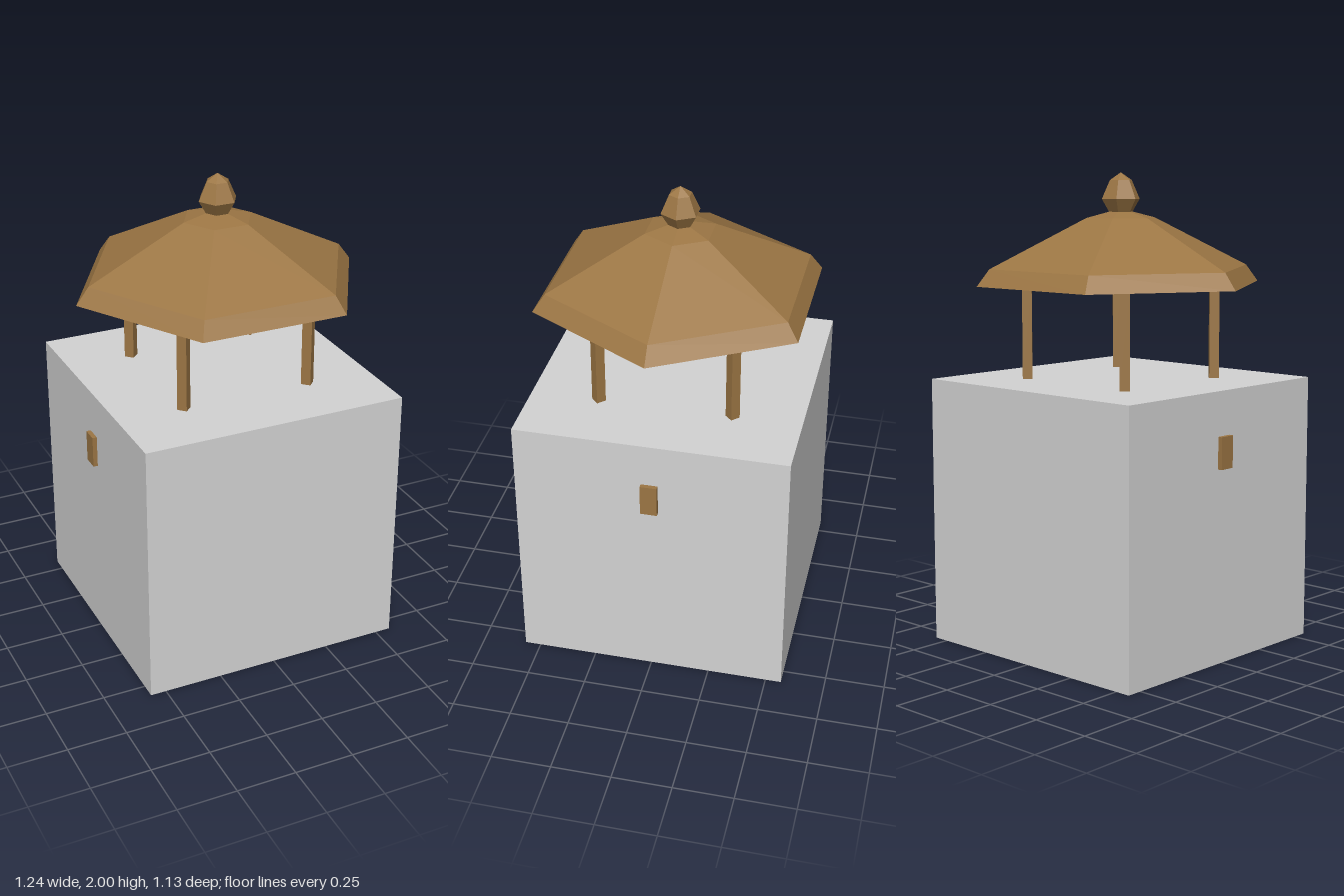
import * as THREE from 'three';

const stone = new THREE.MeshStandardMaterial({ color: 0xd4d4d4, flatShading: true });
stone.name = 'pale grey stone';
const wood = new THREE.MeshStandardMaterial({ color: 0x9c7644, flatShading: true });
wood.name = 'brown wood';

function part(name, geometry, material, x = 0, y = 0, z = 0) {
  const mesh = new THREE.Mesh(geometry, material);
  mesh.name = name;
  mesh.position.set(x, y, z);
  return mesh;
}

// Six-sided turned form with corners on the x axis; profile runs bottom to top
function hexForm(profile) {
  const points = profile.map(([r, y]) => new THREE.Vector2(r, y));
  return new THREE.LatheGeometry(points, 6, Math.PI / 2).toNonIndexed();
}

export function createModel() {
  const model = new THREE.Group();
  model.name = 'roofedBlock';

  // Cubic base
  const size = 1.134;
  model.add(part('base', new THREE.BoxGeometry(size, size, size), stone, 0, size / 2, 0));

  // Four slim posts, set cornerwise
  const postHeight = 0.402;
  const postGeometry = new THREE.CylinderGeometry(0.029, 0.029, postHeight, 4);
  for (const sx of [-1, 1]) {
    for (const sz of [-1, 1]) {
      model.add(part('post', postGeometry, wood, sx * 0.28, size + postHeight / 2, sz * 0.28));
    }
  }

  // Small plaque on each side of the base
  for (const sx of [-1, 1]) {
    model.add(part('sidePlaque', new THREE.BoxGeometry(0.02, 0.134, 0.07), wood, sx * (size / 2 + 0.009), 0.882, 0));
  }

  // Hexagonal roof with a flat underside and a steeper eave
  model.add(part('roof', hexForm([
    [0, 1.535], [0.62, 1.535], [0.566, 1.606], [0.15, 1.812], [0.048, 1.838], [0, 1.84],
  ]), wood));

  // Bud-shaped finial
  model.add(part('finial', hexForm([
    [0, 1.834], [0.05, 1.834], [0.083, 1.89], [0.048, 1.968], [0, 2],
  ]), wood));

  return model;
}
